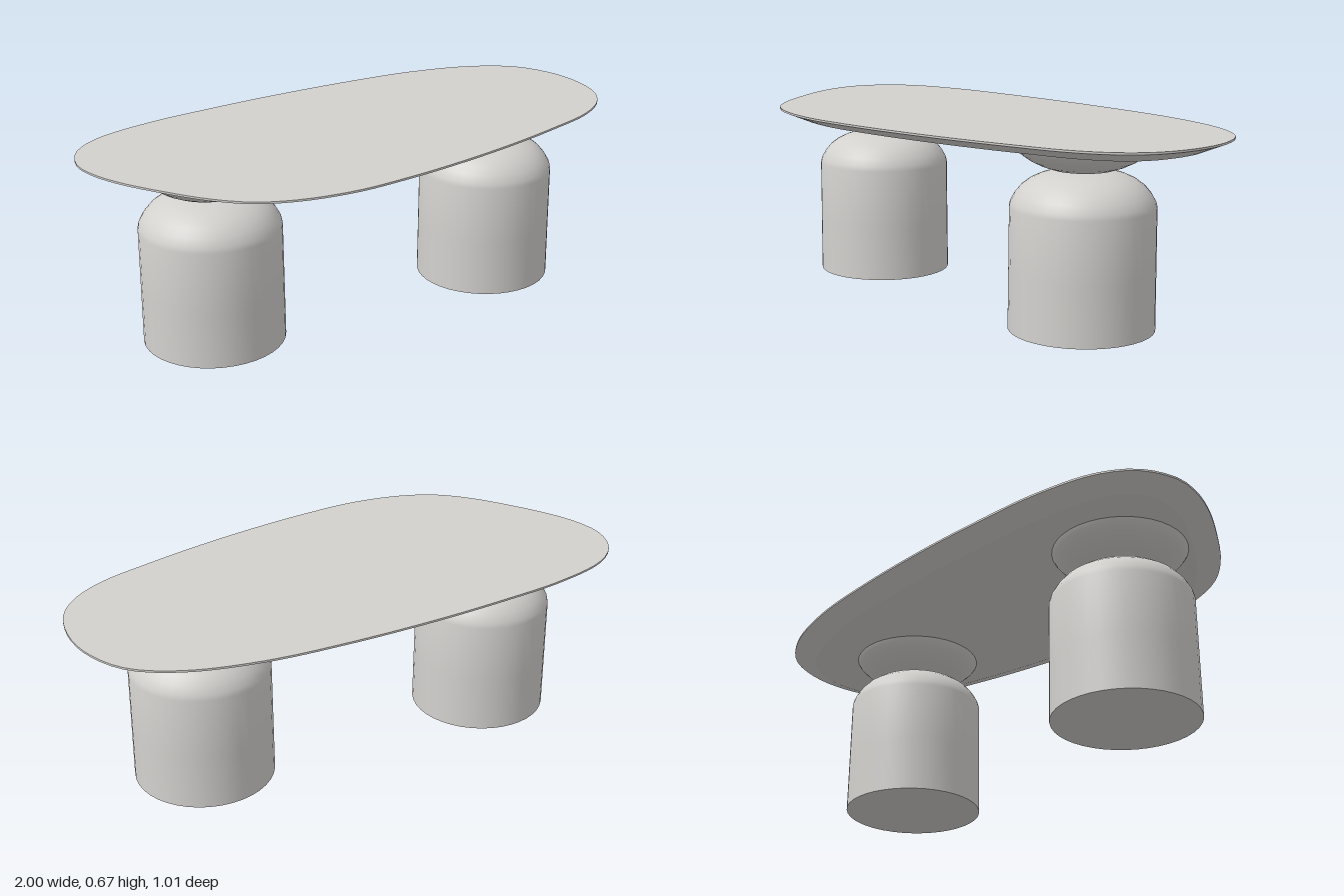
import * as THREE from 'three';
import { toCreasedNormals } from 'three/addons/utils/BufferGeometryUtils.js';

const stone = new THREE.MeshStandardMaterial({ color: 0xd3d1ce });
stone.name = 'warm grey stone';

// Plan outline of the tabletop as [x, z]
const OUTLINE = [
  [-1, -0.16], [-0.957, -0.283], [-0.85, -0.374], [-0.636, -0.44], [-0.396, -0.473],
  [-0.128, -0.497], [0.22, -0.508], [0.513, -0.495], [0.754, -0.44], [0.904, -0.348],
  [0.979, -0.214], [1, -0.07], [0.973, 0.08], [0.904, 0.182], [0.78, 0.267],
  [0.594, 0.332], [0.353, 0.4], [0.086, 0.457], [-0.12, 0.488], [-0.316, 0.503],
  [-0.503, 0.48], [-0.636, 0.428], [-0.743, 0.337], [-0.85, 0.198], [-0.941, 0.053], [-0.987, -0.06],
];

// Slab with a thin upright rim and an undercut bevel
function tabletopGeometry() {
  const curve = new THREE.CatmullRomCurve3(OUTLINE.map(([x, z]) => new THREE.Vector3(x, 0, z)), true);
  const n = 112;
  const ring = (inset, y) => Array.from({ length: n }, (_, i) => {
    const p = curve.getPointAt(i / n);
    const t = curve.getTangentAt(i / n);
    return new THREE.Vector3(p.x - t.z * inset, y, p.z + t.x * inset);
  });
  const centre = (y) => Array.from({ length: n }, () => new THREE.Vector3(0, y, 0));
  const rows = [centre(0.627), ring(0.083, 0.627), ring(0, 0.661), ring(0, 0.668), centre(0.668)];
  const positions = [];
  const tri = (...pts) => pts.forEach((p) => positions.push(p.x, p.y, p.z));
  for (let r = 0; r < rows.length - 1; r++) {
    const lower = rows[r], upper = rows[r + 1];
    for (let i = 0; i < n; i++) {
      const j = (i + 1) % n;
      if (r > 0) tri(lower[j], lower[i], upper[i]);
      if (r < rows.length - 2) tri(lower[j], upper[i], upper[j]);
    }
  }
  const geometry = new THREE.BufferGeometry();
  geometry.setAttribute('position', new THREE.Float32BufferAttribute(positions, 3));
  return toCreasedNormals(geometry, 0.35);
}

function lathe(profile) {
  const geometry = new THREE.LatheGeometry(profile.map(([r, y]) => new THREE.Vector2(r, y)), 40);
  return toCreasedNormals(geometry, 0.7);
}

function addMesh(parent, name, geometry) {
  const mesh = new THREE.Mesh(geometry, stone);
  mesh.name = name;
  parent.add(mesh);
}

export function createModel() {
  const model = new THREE.Group();
  model.name = 'table';
  addMesh(model, 'tabletop', tabletopGeometry());

  // Domed drum and the shallow bowl that carries the top
  const drum = lathe([
    [0, 0], [0.25, 0], [0.2485, 0.2], [0.247, 0.42], [0.243, 0.438], [0.228, 0.465], [0.207, 0.49],
    [0.18, 0.51], [0.148, 0.525], [0.115, 0.535], [0.07, 0.541], [0, 0.542],
  ]);
  const bowl = lathe([
    [0, 0.539], [0.07, 0.541], [0.107, 0.548], [0.145, 0.561], [0.178, 0.577],
    [0.207, 0.597], [0.225, 0.613], [0.236, 0.63], [0, 0.63],
  ]);
  for (const [name, x] of [['rightLeg', -0.595], ['leftLeg', 0.541]]) {
    const leg = new THREE.Group();
    leg.name = name;
    leg.position.set(x, 0, -0.015);
    addMesh(leg, 'drum', drum);
    addMesh(leg, 'bowl', bowl);
    model.add(leg);
  }
  return model;
}
